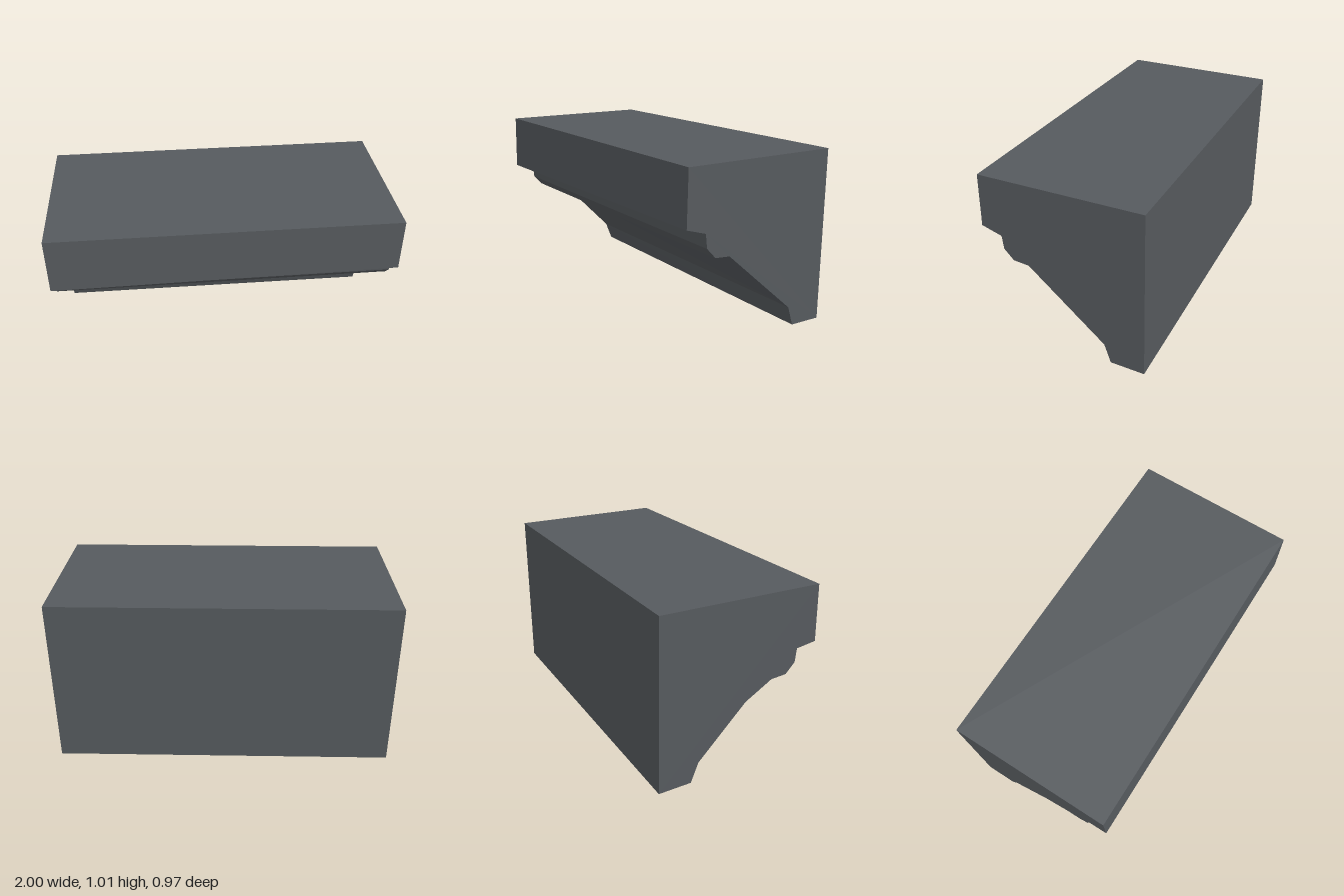
import * as THREE from 'three';

// Cross-section of each end as [z, y], from the top front edge down and around to the top back edge.
const rightEnd = [
  [0.478, 1.015], [0.485, 0.703], [0.365, 0.665], [0.356, 0.585], [0.3, 0.525],
  [0.207, 0.516], [0.207, 0.516], [-0.24, 0.125], [-0.277, 0.011],
  [-0.478, 0.003], [-0.482, 1.008],
];
// The other end has a slightly lower front lip and a hollowed cove.
const leftEnd = rightEnd.map((p) => [...p]);
leftEnd[1] = [0.485, 0.684];
leftEnd[6] = [0.045, 0.418];
leftEnd[8] = [-0.284, 0.011];

function loft(a, b, halfWidth) {
  const A = a.map(([z, y]) => new THREE.Vector3(-halfWidth, y, z));
  const B = b.map(([z, y]) => new THREE.Vector3(halfWidth, y, z));
  const points = [];
  const tri = (p, q, r) => {
    if (new THREE.Triangle(p, q, r).getArea() > 1e-7) points.push(p, q, r);
  };
  // Long faces between the two ends
  for (let i = 0; i < A.length; i++) {
    const j = (i + 1) % A.length;
    tri(A[i], A[j], B[j]);
    tri(A[i], B[j], B[i]);
  }
  // End caps
  const cap = (ring) => THREE.ShapeUtils.triangulateShape(
    ring.map((p) => new THREE.Vector2(-p.z, p.y)), []);
  for (const [i, j, k] of cap(B)) tri(B[i], B[j], B[k]);
  for (const [i, j, k] of cap(A)) tri(A[i], A[k], A[j]);

  const geometry = new THREE.BufferGeometry().setFromPoints(points);
  geometry.computeVertexNormals();
  return geometry;
}

export function createModel() {
  const group = new THREE.Group();
  group.name = 'corniceBlock';
  const stone = new THREE.MeshStandardMaterial({ color: 0x565a5e });
  stone.name = 'dark grey stone';
  stone.flatShading = true;
  const cornice = new THREE.Mesh(loft(leftEnd, rightEnd, 1), stone);
  cornice.name = 'cornice';
  group.add(cornice);
  return group;
}
